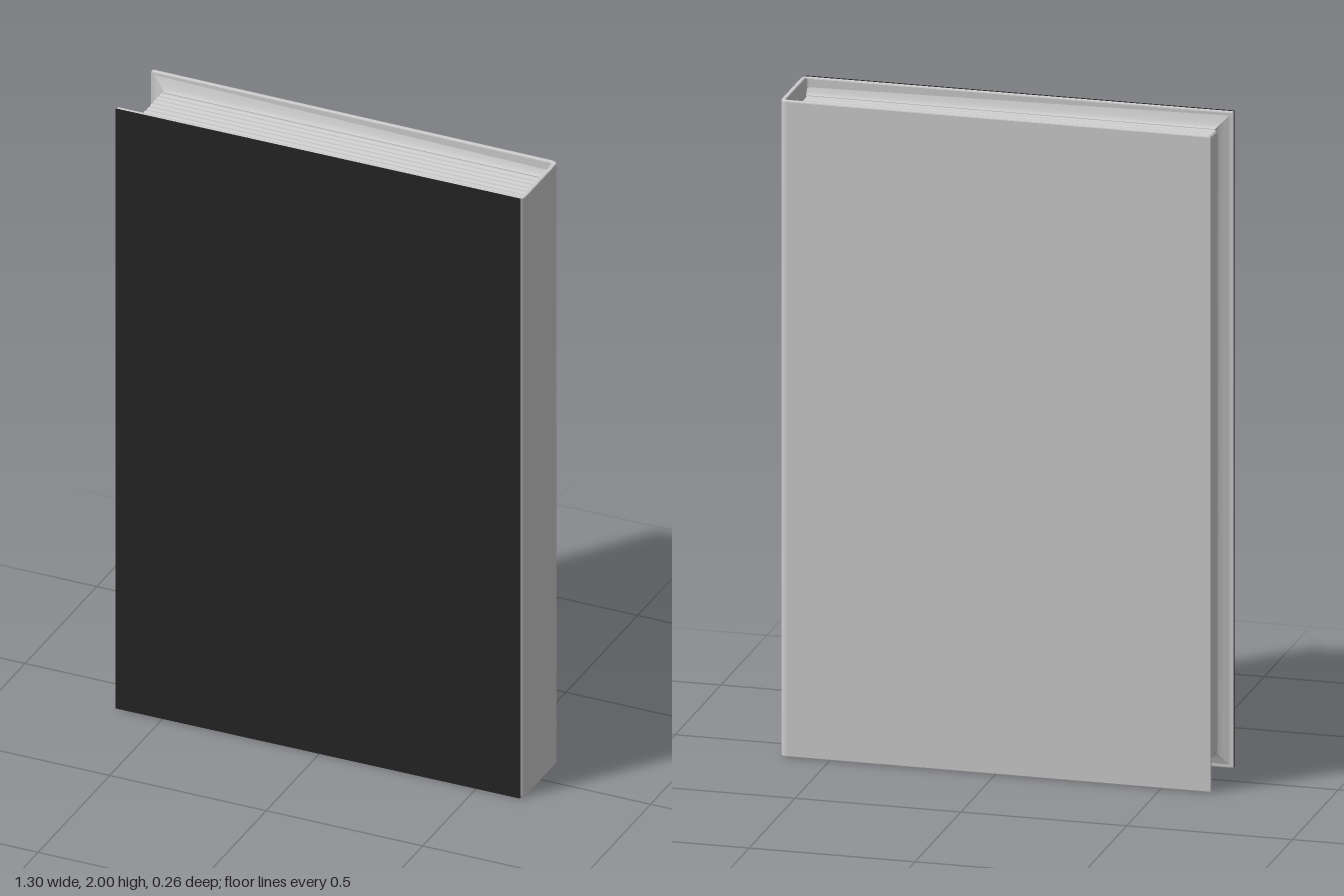
import * as THREE from 'three';
import { RoundedBoxGeometry } from 'three/addons/geometries/RoundedBoxGeometry.js';

const HEIGHT = 2, LEFT = -0.65, RIGHT = 0.65;
const Z_FORE = 0.129, Z_SPINE = 0.124; // half thickness at the open edge and at the spine

export function createModel() {
  const coverGrey = new THREE.MeshStandardMaterial({ color: 0xcccccc });
  coverGrey.name = 'light grey';
  const frontBlack = new THREE.MeshStandardMaterial({ color: 0x242424 });
  frontBlack.name = 'near black';

  const book = new THREE.Group();
  book.name = 'book';
  const add = (name, geometry, material, parent = book) => {
    const mesh = new THREE.Mesh(geometry, material);
    mesh.name = name;
    parent.add(mesh);
    return mesh;
  };

  // Wraparound cover: C-shaped section with rounded spine corners, extruded upward
  const section = new THREE.Shape();
  section.moveTo(LEFT, -Z_FORE);
  section.lineTo(RIGHT - 0.025, -Z_SPINE);
  section.quadraticCurveTo(RIGHT, -Z_SPINE, RIGHT, -Z_SPINE + 0.025);
  section.lineTo(RIGHT, Z_SPINE - 0.025);
  section.quadraticCurveTo(RIGHT, Z_SPINE, RIGHT - 0.025, Z_SPINE);
  section.lineTo(LEFT, Z_FORE);
  section.lineTo(LEFT, Z_FORE - 0.013);
  section.lineTo(0.625, Z_SPINE - 0.014);
  section.quadraticCurveTo(0.636, Z_SPINE - 0.014, 0.636, Z_SPINE - 0.025);
  section.lineTo(0.636, -Z_SPINE + 0.025);
  section.quadraticCurveTo(0.636, -Z_SPINE + 0.014, 0.625, -Z_SPINE + 0.014);
  section.lineTo(LEFT, -Z_FORE + 0.013);
  section.closePath();
  const bevel = 0.004;
  const cover = new THREE.ExtrudeGeometry(section, {
    depth: HEIGHT - 2 * bevel, bevelThickness: bevel, bevelSize: bevel,
    bevelOffset: -bevel, bevelSegments: 2, curveSegments: 8,
  });
  cover.translate(0, 0, bevel).rotateX(-Math.PI / 2);
  add('cover', cover, coverGrey);

  // Black face of the front board, following the slight taper of the cover
  const face = new THREE.BoxGeometry(RIGHT - 0.01 - LEFT, HEIGHT, 0.004);
  face.translate(LEFT + (RIGHT - 0.01 - LEFT) / 2, HEIGHT / 2, 0);
  const fp = face.attributes.position;
  for (let i = 0; i < fp.count; i++) {
    const t = (fp.getX(i) - LEFT) / (RIGHT - LEFT);
    fp.setZ(i, fp.getZ(i) + THREE.MathUtils.lerp(Z_FORE, Z_SPINE, t) + 0.0015);
  }
  face.computeVertexNormals();
  add('frontCoverFace', face, frontBlack);

  // Hollow curve on the inside of each board, drawing in towards the pages
  for (const side of [1, -1]) {
    const width = 0.632 - LEFT - 0.004, depth = 0.022;
    const lining = new THREE.BoxGeometry(width, HEIGHT - 0.01, depth, 1, 1, 5);
    const p = lining.attributes.position;
    for (let i = 0; i < p.count; i++) {
      const t = 0.5 - (side * p.getZ(i)) / depth; // 0 at the board, 1 at the pages
      const inset = 0.045 * Math.sin((t * Math.PI) / 2);
      if (p.getX(i) < 0) p.setX(i, p.getX(i) + inset);
      p.setY(i, p.getY(i) - Math.sign(p.getY(i)) * inset);
    }
    lining.computeVertexNormals();
    lining.translate(LEFT + 0.004 + width / 2, HEIGHT / 2, side * 0.107);
    add(side > 0 ? 'frontLining' : 'backLining', lining, coverGrey);
  }

  // Page block: rounded sections with grooves between them
  const pages = new THREE.Group();
  pages.name = 'pages';
  book.add(pages);
  const count = 9, pitch = 0.2 / count;
  const sheet = new RoundedBoxGeometry(1.242, 1.9, pitch, 3, pitch * 0.48);
  for (let i = 0; i < count; i++) {
    add('pageSection', sheet, coverGrey, pages)
      .position.set(0.011, HEIGHT / 2, (i - (count - 1) / 2) * pitch);
  }

  return book;
}
